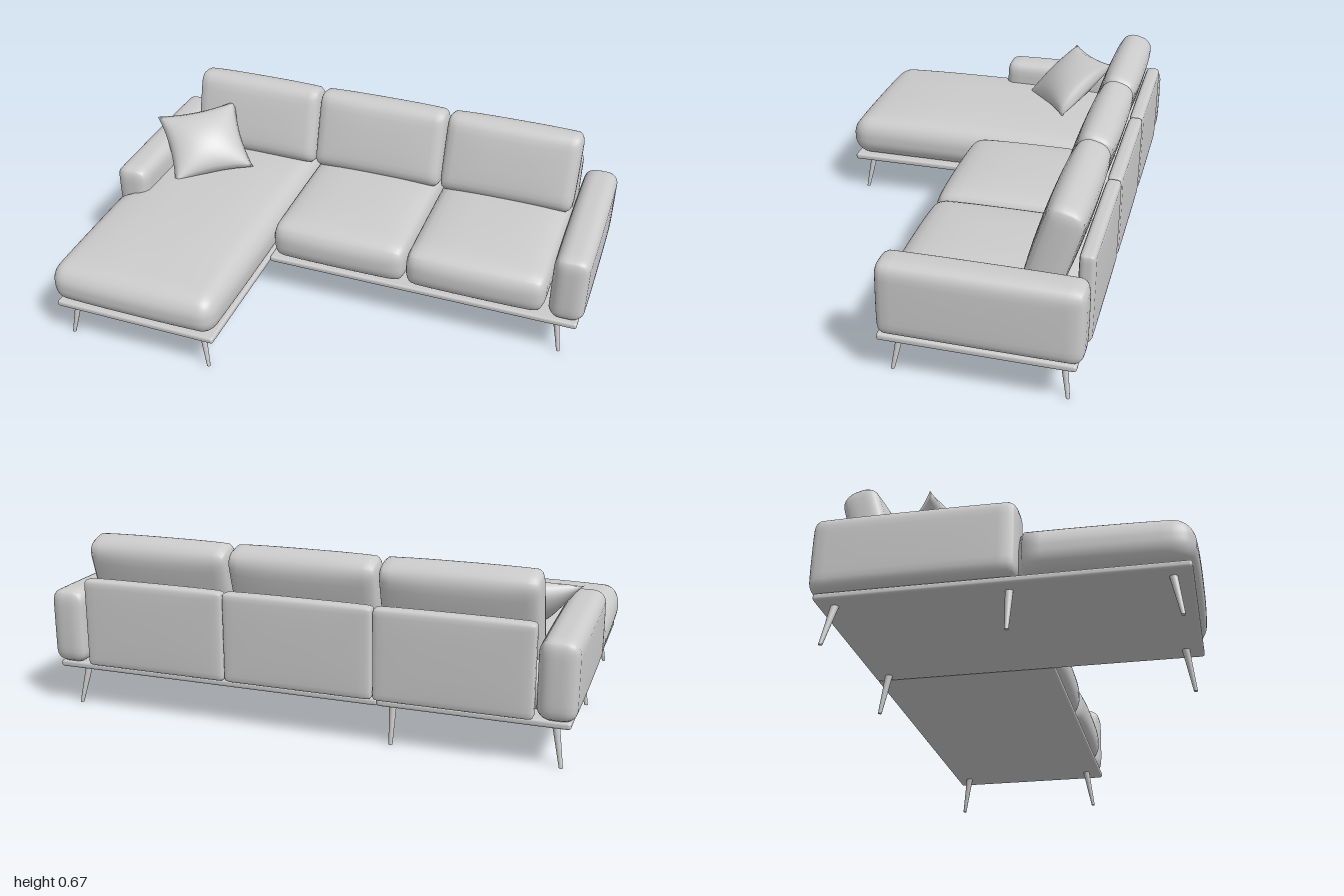
import * as THREE from 'three';
import { mergeVertices } from 'three/addons/utils/BufferGeometryUtils.js';
import { RoundedBoxGeometry } from 'three/addons/geometries/RoundedBoxGeometry.js';

const fabric = new THREE.MeshStandardMaterial({ color: 0xcccccc });

// Moves every vertex of a subdivided 2-unit box by a rule, then smooths it
function mouldedBox(nx, ny, nz, rule) {
  let geo = new THREE.BoxGeometry(2, 2, 2, nx, ny, nz);
  geo.deleteAttribute('normal');
  geo.deleteAttribute('uv');
  const pos = geo.attributes.position, p = new THREE.Vector3();
  for (let i = 0; i < pos.count; i++) {
    rule(p.fromBufferAttribute(pos, i));
    pos.setXYZ(i, p.x, p.y, p.z);
  }
  geo = mergeVertices(geo, 1e-5);
  geo.computeVertexNormals();
  return geo;
}

// Upholstered block: elliptically rounded edges; sides swell in x and z, and the top in y
function cushionGeometry(size, radii, swell, n = 16, after = null) {
  const half = size.map((s) => s / 2);
  return mouldedBox(n, n, n, (p) => {
    const c = p.toArray().map((t, i) => Math.sin(t * Math.PI / 2) * half[i]);
    const inner = c.map((v, i) => THREE.MathUtils.clamp(v, radii[i] - half[i], half[i] - radii[i]));
    const off = new THREE.Vector3(...c.map((v, i) => (v - inner[i]) / radii[i])).normalize().toArray();
    const q = inner.map((v, i) => v + off[i] * radii[i]);
    const f = q.map((v, i) => 1 - Math.pow(Math.abs(v / half[i]), 3));
    p.set(
      q[0] + swell[0] * (q[0] / half[0]) * f[1] * f[2],
      q[1] + swell[1] * Math.max(0, q[1] / half[1]) * f[0] * f[2],
      q[2] + swell[2] * (q[2] / half[2]) * f[0] * f[1]);
    if (after) after(p);
  });
}

export function createModel() {
  const model = new THREE.Group();
  const add = (name, geo, x, y, z) => {
    const mesh = new THREE.Mesh(geo, fabric);
    mesh.name = name;
    mesh.position.set(x, y, z);
    model.add(mesh);
    return mesh;
  };

  // L-shaped platform in two boards
  add('chaisePlatform', new RoundedBoxGeometry(0.675, 0.026, 1.24, 3, 0.01), -0.6375, 0.163, 0);
  add('mainPlatform', new RoundedBoxGeometry(1.278, 0.026, 0.685, 3, 0.01), 0.336, 0.163, -0.2775);

  // Tapered legs: foot x, foot z, and outward splay in x and z
  const legs = [
    [-0.945, 0.582, -1, 1], [-0.345, 0.582, 1, 1], [-0.945, 0.028, -1, 0],
    [-0.945, -0.587, -1, -1], [-0.345, -0.587, 0, -1],
    [0.915, 0.028, 1, 1], [0.915, -0.587, 1, -1],
  ];
  for (const [x, z, sx, sz] of legs) {
    const geo = new THREE.CylinderGeometry(0.014, 0.007, 0.155, 16);
    geo.translate(0, 0.0775, 0);
    // shear keeps the foot flat on the floor
    geo.applyMatrix4(new THREE.Matrix4().set(
      1, -sx * 0.19, 0, 0, 0, 1, 0, 0, 0, -sz * 0.17, 1, 0, 0, 0, 0, 1));
    geo.computeVertexNormals();
    add('leg', geo, x, 0, z);
  }

  // Arms
  const arm = cushionGeometry([0.136, 0.285, 0.7], [0.05, 0.045, 0.03], [0.005, 0.004, 0.005]);
  add('rightArm', arm, -0.926, 0.3175, -0.288);
  add('leftArm', arm, 0.924, 0.3175, -0.288);

  // Three back panels and the leaning cushions in front of them
  const panel = cushionGeometry([0.562, 0.335, 0.056], [0.016, 0.016, 0.02], [0, 0.003, 0.004]);
  const back = cushionGeometry([0.56, 0.335, 0.13], [0.025, 0.05, 0.055], [0.002, 0.006, 0.014]);
  for (const x of [-0.57, -0.005, 0.56]) {
    add('backPanel', panel, x, 0.3425, -0.615);
    add('backCushion', back, x, 0.497, -0.5).rotation.x = -0.29;
  }

  // Two seat cushions
  const seat = cushionGeometry([0.562, 0.168, 0.66], [0.04, 0.07, 0.055], [0.002, 0.028, 0.014]);
  for (const x of [-0.007, 0.558]) add('seatCushion', seat, x, 0.258, -0.26);

  // Chaise cushion, notched at its rear outer side to fit beside the arm
  const chaise = cushionGeometry([0.695, 0.165, 1.21], [0.06, 0.075, 0.07], [0.007, 0.032, 0.012], 32, (p) => {
    if (p.z < 0.035) p.x = Math.max(p.x, -0.22);
  });
  add('chaiseCushion', chaise, -0.642, 0.257, 0.025);

  // Throw pillow: plump centre, thin seam, pulled-in sides and pointed corners
  const pillow = mouldedBox(20, 20, 2, (p) => {
    const { x, y, z } = p;
    const a = 1 - x * x, b = 1 - y * y;
    p.set(0.172 * x * (1 - 0.1 * b), 0.158 * y * (1 - 0.1 * a), 0.068 * z * Math.pow(a * b, 0.6));
  });
  const along = new THREE.Vector3(0.27, 0.02, -0.21).normalize();
  const facing = along.clone().cross(new THREE.Vector3(-0.15, 0.175, -0.165)).normalize();
  const up = facing.clone().cross(along);
  add('throwPillow', pillow, -0.73, 0.46, -0.257).quaternion.setFromRotationMatrix(
    new THREE.Matrix4().makeBasis(along, up, facing));

  return model;
}
